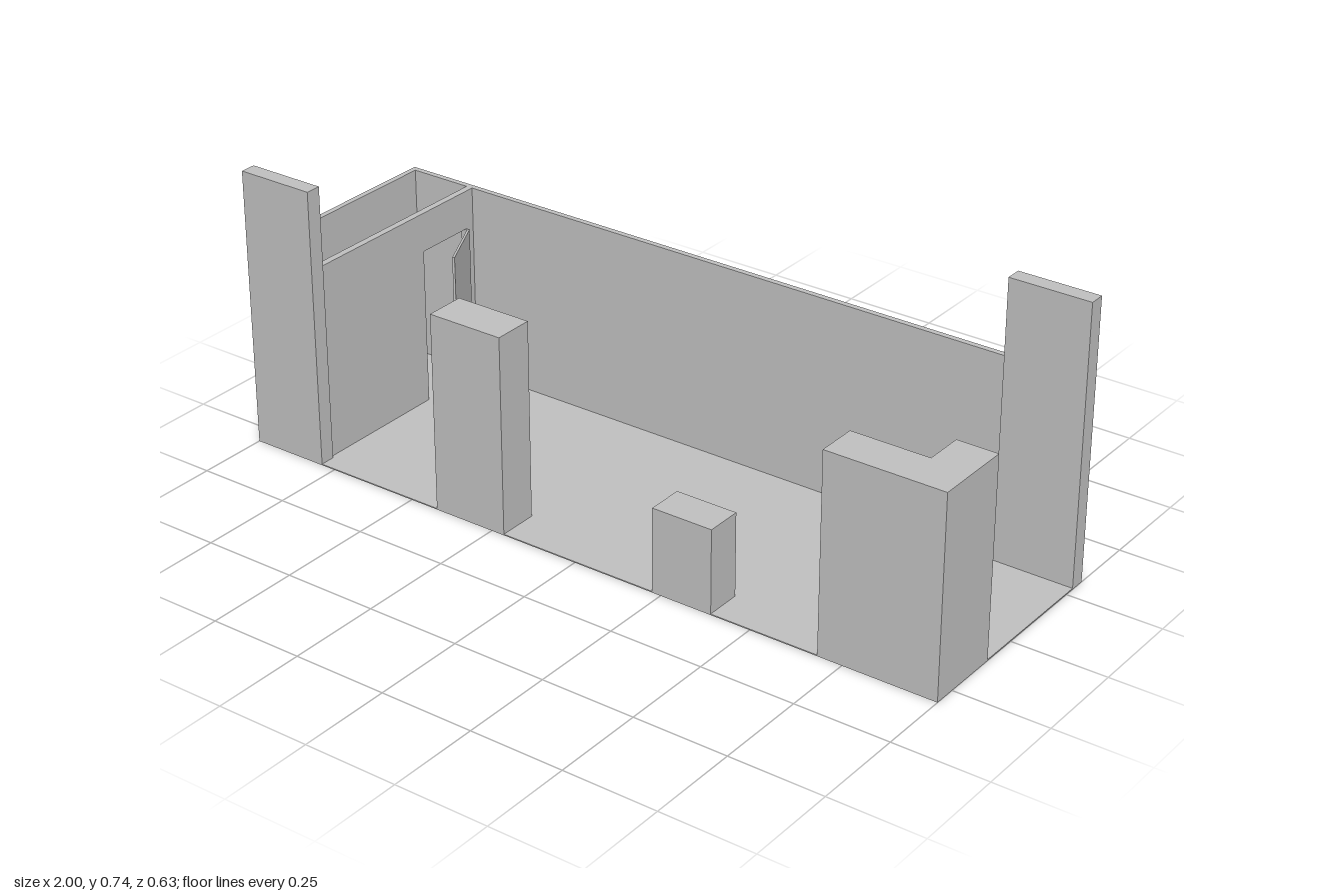
import * as THREE from 'three';

export function createModel() {
  const model = new THREE.Group();
  const grey = new THREE.MeshStandardMaterial({ color: 0xc0c0c0 });
  grey.name = 'plain grey';

  const add = (name, geometry, parent = model) => {
    const mesh = new THREE.Mesh(geometry, grey);
    mesh.name = name;
    parent.add(mesh);
    return mesh;
  };
  // Box given by its lower and upper corners
  const box = (name, x0, x1, y0, y1, z0, z1, parent) =>
    add(name, new THREE.BoxGeometry(x1 - x0, y1 - y0, z1 - z0), parent)
      .position.set((x0 + x1) / 2, (y0 + y1) / 2, (z0 + z1) / 2);

  const floorTop = 0.003, wallTop = 0.527, postTop = 0.74;
  const back = -0.32, front = 0.31;

  box('floor', -1, 1, 0, floorTop, back, front);

  // Tall corner posts
  box('frontPost', -1, -0.79, floorTop, postTop, 0.269, front);
  box('backPost', 0.785, 1, floorTop, postTop, back, -0.278);

  // Framed wall along +x, outer face at z = 0, inner face at z = depth
  const framedWall = (name, length, panels) => {
    const wall = new THREE.Group();
    wall.name = name;
    const depth = 0.015, recess = 0.01, stud = 0.018, rail = 0.01;
    const low = floorTop + rail, high = wallTop - rail;
    box('panel', 0, length, low, high, recess, depth, wall);
    box('bottomRail', 0, length, floorTop, low, 0, depth, wall);
    box('topRail', 0, length, high, wallTop, 0, depth, wall);
    for (let i = 0; i <= panels; i++) {
      const x = (length - stud) * i / panels;
      box('stud', x, x + stud, low, high, 0, recess, wall);
    }
    model.add(wall);
    return wall;
  };
  framedWall('backWall', 1.785, 17).position.set(-1, 0, back);
  const endWall = framedWall('endWall', 0.574, 5);
  endWall.rotation.y = Math.PI / 2;
  endWall.position.set(-1, 0, 0.269);

  // Partition with a doorway, drawn in (-z, y) and turned to face +x
  const outline = new THREE.Shape();
  [[-0.269, floorTop], [0.11, floorTop], [0.11, 0.423], [0.28, 0.423],
    [0.28, floorTop], [0.305, floorTop], [0.305, wallTop], [-0.269, wallTop]]
    .forEach(([x, y], i) => (i ? outline.lineTo(x, y) : outline.moveTo(x, y)));
  const partition = add('partition',
    new THREE.ExtrudeGeometry(outline, { depth: 0.018, bevelEnabled: false }));
  partition.rotation.y = Math.PI / 2;
  partition.position.x = -0.815;

  // Door standing ajar, hinged near the back wall
  const doorGeometry = new THREE.BoxGeometry(0.17, 0.417, 0.006);
  doorGeometry.translate(0.085, 0.2085, 0);
  const door = add('door', doorGeometry);
  door.position.set(-0.795, floorTop, -0.284);
  door.rotation.y = -Math.atan2(0.15, 0.075);

  // Free-standing blocks along the open front
  box('tallBlock', -0.42, -0.213, floorTop, wallTop, 0.203, front);
  box('lowBlock', 0.226, 0.392, floorTop, 0.225, 0.213, front);

  // L-shaped corner block, drawn in (x, -z) and raised upright
  const corner = new THREE.Shape();
  [[0.684, -front], [1, -front], [1, -0.1], [0.892, -0.1], [0.892, -0.203], [0.684, -0.203]]
    .forEach(([x, y], i) => (i ? corner.lineTo(x, y) : corner.moveTo(x, y)));
  const cornerBlock = add('cornerBlock',
    new THREE.ExtrudeGeometry(corner, { depth: wallTop - floorTop, bevelEnabled: false }));
  cornerBlock.rotation.x = -Math.PI / 2;
  cornerBlock.position.y = floorTop;

  return model;
}
